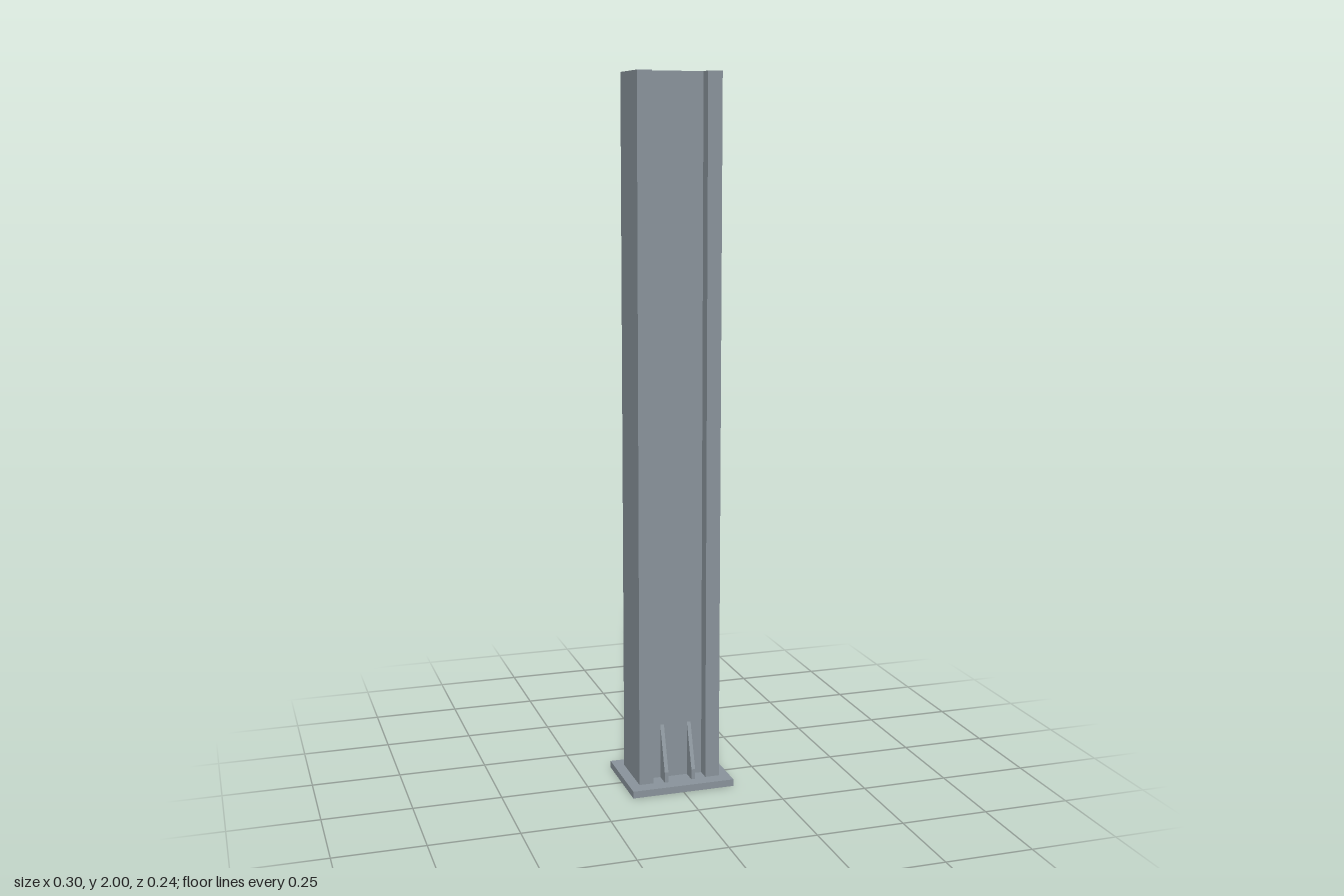
import * as THREE from 'three';

// Vertical sheet walls following a closed [x, z] outline, open at both ends
function sheetWalls(outline, y0, y1) {
  const pos = [];
  outline.forEach(([ax, az], i) => {
    const [bx, bz] = outline[(i + 1) % outline.length];
    pos.push(ax, y0, az, bx, y0, bz, bx, y1, bz);
    pos.push(ax, y0, az, bx, y1, bz, ax, y1, az);
  });
  const geo = new THREE.BufferGeometry();
  geo.setAttribute('position', new THREE.Float32BufferAttribute(pos, 3));
  geo.computeVertexNormals();
  return geo;
}

export function createModel() {
  const group = new THREE.Group();
  const steel = new THREE.MeshStandardMaterial({ color: 0x8a949c, side: THREE.DoubleSide });
  steel.name = 'steel grey';

  const add = (name, geo) => {
    const mesh = new THREE.Mesh(geo, steel);
    mesh.name = name;
    group.add(mesh);
    return mesh;
  };

  const plateTop = 0.02;
  const plateX = 0.149, plateZ = 0.12;
  const outerX = 0.119, innerX = 0.078; // flange faces
  const flangeZ = 0.079, webZ = 0.041;

  // Base plate: rim and top sheet, open underneath
  const rim = [[-plateX, plateZ], [plateX, plateZ], [plateX, -plateZ], [-plateX, -plateZ]];
  add('basePlateRim', sheetWalls(rim, 0, plateTop));
  const sheet = new THREE.PlaneGeometry(plateX * 2, plateZ * 2);
  sheet.rotateX(-Math.PI / 2);
  add('basePlateTop', sheet).position.y = plateTop;

  // Hollow H-section column, open at the top and bottom
  const right = [
    [innerX, webZ], [innerX, flangeZ], [outerX, flangeZ],
    [outerX, -flangeZ], [innerX, -flangeZ], [innerX, -webZ],
  ];
  const left = right.map(([x, z]) => [-x, -z]);
  add('column', sheetWalls([...right, ...left], 0, 2));

  // Tapered stiffeners against both faces of the web
  const thickness = 0.011;
  const profile = new THREE.Shape([
    [webZ, plateTop], [0.084, plateTop], [0.084, 0.05], [webZ, 0.178],
  ].map(([z, y]) => new THREE.Vector2(z, y)));
  const gusset = new THREE.ExtrudeGeometry(profile, { depth: thickness, bevelEnabled: false });
  gusset.translate(0, 0, -thickness / 2);
  for (const side of [1, -1]) {
    for (const x of [-0.04, 0.04]) {
      const mesh = add(side > 0 ? 'frontStiffener' : 'backStiffener', gusset);
      mesh.rotation.y = -side * Math.PI / 2;
      mesh.position.x = x;
    }
  }
  return group;
}
